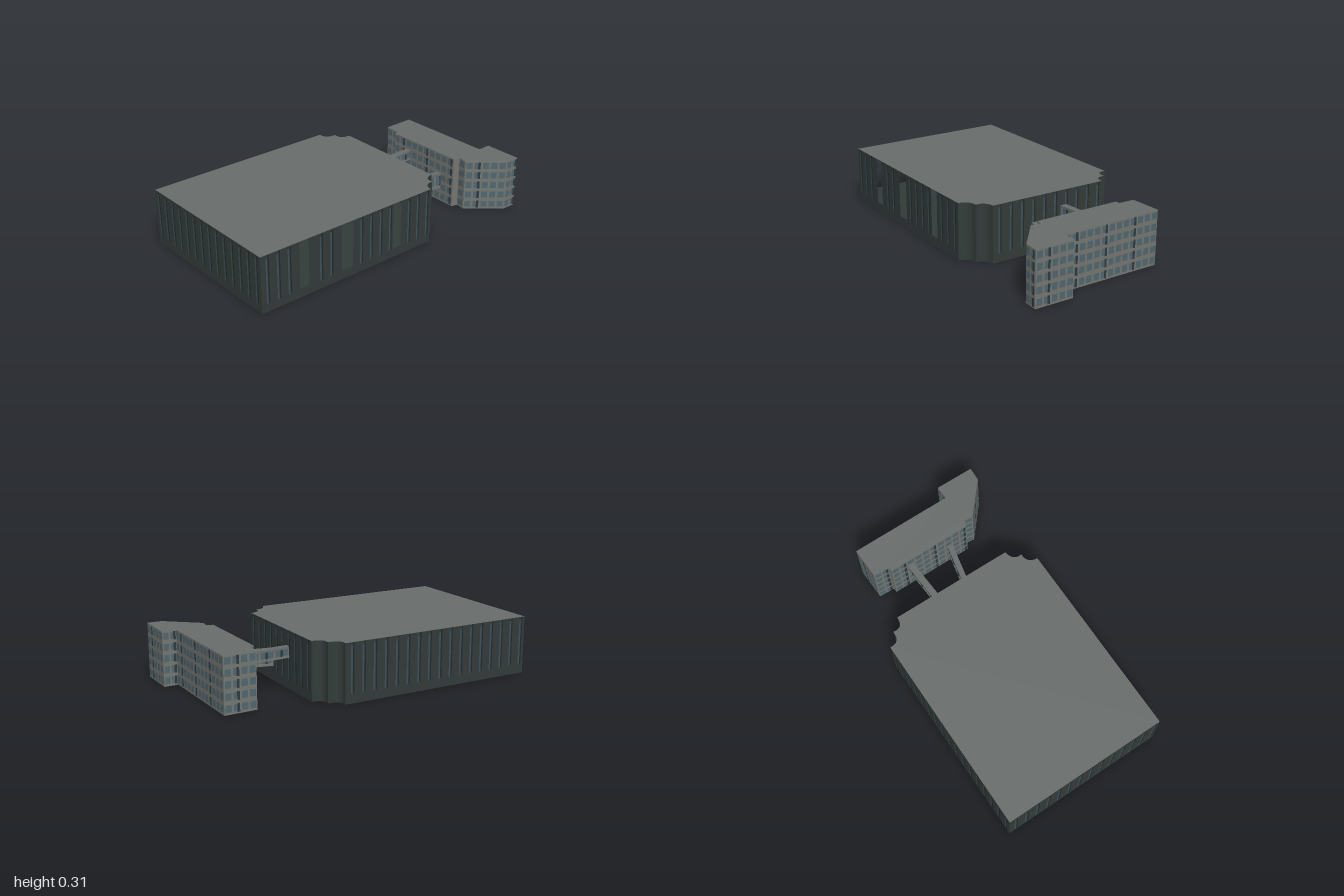
import * as THREE from 'three';

const mat = (name, color, side = THREE.FrontSide) => {
  const m = new THREE.MeshStandardMaterial({ color, side });
  m.name = name;
  return m;
};

export function createModel() {
  const root = new THREE.Group();
  root.name = 'buildingComplex';
  const cladding = mat('dark cladding', 0x323b39);
  const seam = mat('dark seam', 0x222a2b);
  const roofGrey = mat('roof grey', 0x686d6b, THREE.DoubleSide);
  const strip = mat('blue strip', 0x3e5058);
  const concrete = mat('concrete', 0x747671);
  const glass = mat('window glass', 0x50666f);
  const darkGlass = mat('dark glass', 0x2c3a42);

  const group = (name, parent = root) => {
    const g = new THREE.Group();
    g.name = name;
    parent.add(g);
    return g;
  };
  const add = (parent, name, geo, material) => {
    const m = new THREE.Mesh(geo, material);
    m.name = name;
    parent.add(m);
    return m;
  };
  const V = (x, z) => new THREE.Vector2(x, z);

  // Footprints are lists of (x, z); shapes use (x, -z) and are laid flat
  const shapeOf = pts => new THREE.Shape(pts.map(p => V(p.x, -p.y)));
  const slab = (parent, name, pts, y, h, material) => {
    const geo = new THREE.ExtrudeGeometry(shapeOf(pts), { depth: h, bevelEnabled: false });
    add(parent, name, geo.rotateX(-Math.PI / 2), material).position.y = y;
  };

  // Outward-facing upright plate on wall a-b, centred at distance s along it
  const plate = (parent, name, a, b, s, w, y0, y1, off, material) => {
    const d = b.clone().sub(a).normalize();
    const m = add(parent, name, new THREE.PlaneGeometry(w, y1 - y0), material);
    m.position.set(a.x + d.x * s - d.y * off, (y0 + y1) / 2, a.y + d.y * s + d.x * off);
    m.rotation.y = Math.atan2(-d.y, d.x);
  };

  // Main hall footprint, with two scalloped corners
  const arc = (a, c, b) => new THREE.QuadraticBezierCurve(a, c, b).getPoints(6).slice(1);
  const south = V(-0.55, 0.75), east = V(0.41, 0.215), eastTip = V(0.46, 0.045);
  const northTip = V(0.13, -0.555), north = V(-0.035, -0.6), west = V(-1, -0.055);
  const eastCorner = [east, ...arc(east, V(0.385, 0.155), V(0.44, 0.13)),
    ...arc(V(0.44, 0.13), V(0.405, 0.085), eastTip)];
  const northCorner = [northTip, ...arc(northTip, V(0.07, -0.52), V(0.05, -0.58)),
    ...arc(V(0.05, -0.58), V(-0.01, -0.54), north)];
  const hallPts = [south, ...eastCorner, ...northCorner, west];

  const hall = group('mainHall');
  const base = 0.05, top = 0.31;
  slab(hall, 'hallPlinth', hallPts, 0, base, cladding);
  const roof = add(hall, 'hallRoof', new THREE.ShapeGeometry(shapeOf(hallPts)).rotateX(-Math.PI / 2), roofGrey);
  roof.position.y = top;

  // Straight walls: solid stretches between openings, with strips and seams
  const clad = (name, a, b, bays, openings) => {
    const g = group(name, hall), len = a.distanceTo(b);
    const edges = [0, ...openings.flat(), 1];
    for (let i = 0; i < edges.length; i += 2) {
      const w = (edges[i + 1] - edges[i]) * len;
      plate(g, 'wallPanel', a, b, edges[i] * len + w / 2, w, base, top, 0, cladding);
    }
    for (let i = 0; i < bays; i++) {
      const t = (i + 0.5) / bays;
      if (openings.some(([p, q]) => t > p - 0.02 && t < q + 0.02)) continue;
      plate(g, 'verticalSeam', a, b, t * len + 0.011, 0.008, base, top, 0.003, seam);
      plate(g, 'verticalStrip', a, b, t * len, 0.01, base, top - 0.015, 0.004, strip);
    }
  };
  clad('frontWall', south, east, 17, [[0.208, 0.26], [0.448, 0.515], [0.76, 0.81]]);
  clad('innerWall', eastTip, northTip, 10, []);
  clad('backWall', north, west, 17, []);
  clad('sideWall', west, south, 14, []);

  // Scalloped corner walls
  for (const [name, pts] of [['eastCorner', eastCorner], ['northCorner', northCorner]]) {
    const g = group(name, hall);
    for (let i = 0; i + 1 < pts.length; i++) {
      const len = pts[i].distanceTo(pts[i + 1]);
      plate(g, 'cornerPanel', pts[i], pts[i + 1], len / 2, len, base, top, 0, cladding);
    }
  }

  // Office wing: concrete block with five rows of windows on every face
  const wing = group('officeWing');
  const wingPts = [V(0.39, -0.67), V(0.43, -0.59), V(0.41, -0.575), V(0.645, -0.155), V(0.68, -0.165),
    V(0.70, -0.115), V(0.925, -0.07), V(0.995, -0.105), V(0.89, -0.295), V(0.825, -0.255), V(0.54, -0.76)];
  const wingTop = 0.295, floors = 5, storey = wingTop / floors;
  slab(wing, 'wingBody', wingPts, 0, wingTop - 0.001, concrete);
  add(wing, 'wingRoof', new THREE.ShapeGeometry(shapeOf(wingPts)).rotateX(-Math.PI / 2), roofGrey)
    .position.y = wingTop;
  wingPts.forEach((a, k) => {
    const b = wingPts[(k + 1) % wingPts.length], len = a.distanceTo(b);
    if (len < 0.045) return;
    const g = group('windowWall', wing), n = Math.max(1, Math.round(len / 0.046)), pitch = len / n;
    for (let f = 0; f < floors; f++) {
      const y = f * storey + 0.013;
      for (let i = 0; i < n; i++) {
        const s = (i + 0.5) * pitch;
        plate(g, 'window', a, b, s, pitch * 0.74, y, y + 0.036, 0.002, glass);
        if (i % 4 === 1) plate(g, 'darkWindow', a, b, s + pitch * 0.2, 0.014, y - 0.004, y + 0.04, 0.004, darkGlass);
      }
    }
  });

  // Covered bridges: floor, roof, glazed sides and posts
  const bridge = (name, a, b, y0, y1, width, posts) => {
    const g = group(name), len = a.distanceTo(b), h = y1 - y0, t = Math.min(0.014, h * 0.2);
    const box = (part, w, hh, d, x, y, m) =>
      add(g, part, new THREE.BoxGeometry(w, hh, d), m).position.set(x, y, 0);
    box('bridgeFloor', len, t, width, 0, t / 2, concrete);
    box('bridgeRoof', len, t, width, 0, h - t / 2, roofGrey);
    box('bridgeGlazing', len, h - 2 * t, width * 0.8, 0, h / 2, glass);
    for (let i = 0; i <= posts; i++)
      box('bridgePost', 0.012, h - 2 * t, width * 0.98, (i / posts - 0.5) * (len - 0.012), h / 2,
        i % 2 ? darkGlass : concrete);
    g.position.set((a.x + b.x) / 2, y0, (a.y + b.y) / 2);
    g.rotation.y = Math.atan2(a.y - b.y, b.x - a.x);
  };
  bridge('upperBridge', V(0.25, -0.335), V(0.475, -0.48), 0.17, 0.228, 0.036, 6);
  bridge('lowerBridge', V(0.33, -0.17), V(0.60, -0.255), 0.08, 0.172, 0.03, 7);

  return root;
}
